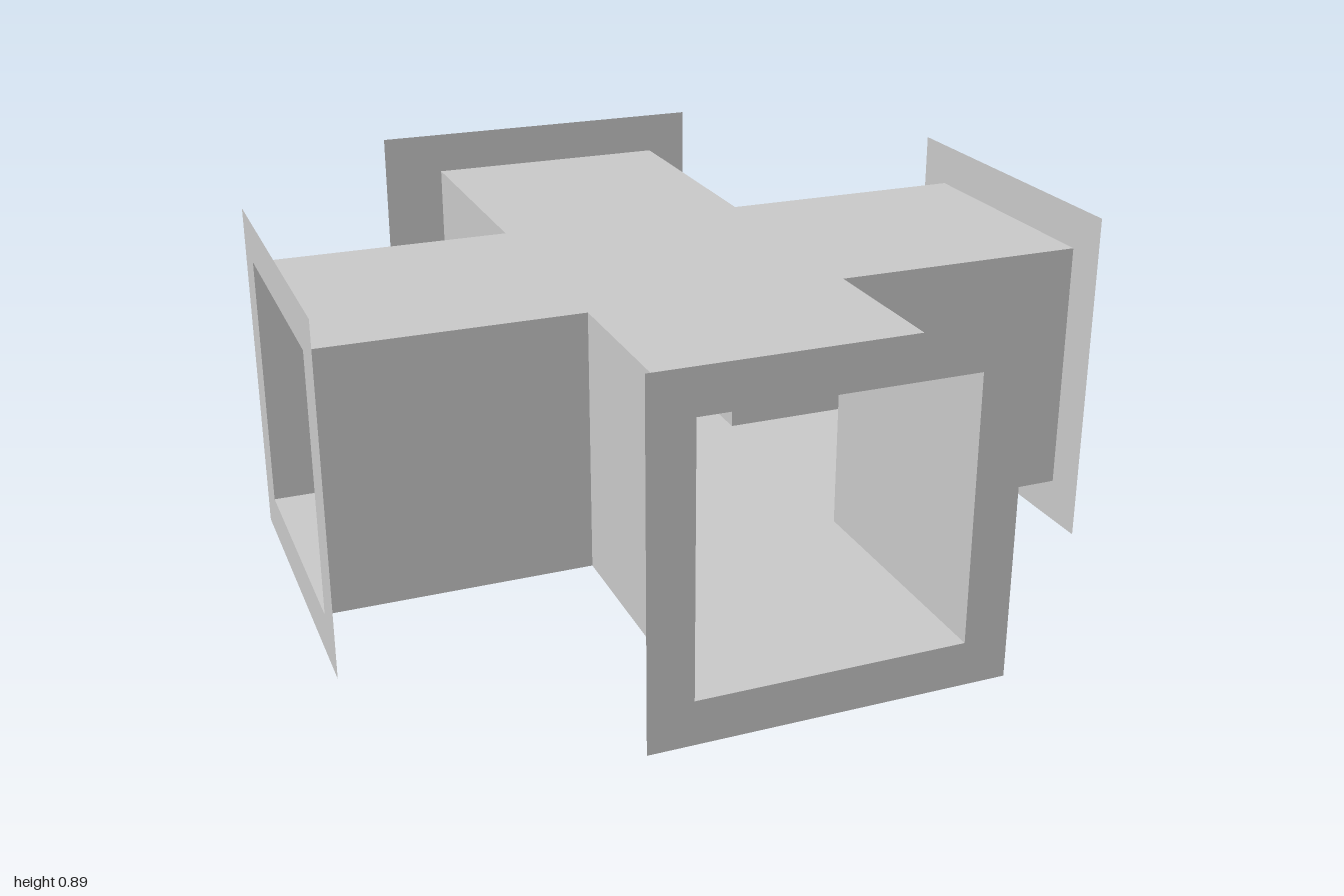
import * as THREE from 'three';

const HALF = 1 / 3;      // half width of the duct
const RIM = 4 / 9;       // half width of the end flanges
const MID = 4 / 9;       // height of the duct axis
const END = 1;           // distance from centre to each open end

export function createModel() {
  const model = new THREE.Group();
  model.name = 'crossDuct';
  const material = new THREE.MeshStandardMaterial({
    color: 0xcccccc, flatShading: true, side: THREE.DoubleSide,
  });

  const add = (parent, name, geometry) => {
    const mesh = new THREE.Mesh(geometry, material);
    mesh.name = name;
    parent.add(mesh);
    return mesh;
  };

  const rectangle = (x0, y0, x1, y1) => [
    new THREE.Vector2(x0, y0), new THREE.Vector2(x1, y0),
    new THREE.Vector2(x1, y1), new THREE.Vector2(x0, y1),
  ];

  // Plus-shaped floor and ceiling sheets
  const cross = [];
  for (let i = 0; i < 4; i++) {
    for (const [x, y] of [[HALF, -HALF], [END, -HALF], [END, HALF]]) {
      cross.push(new THREE.Vector2(x, y).rotateAround(new THREE.Vector2(), i * Math.PI / 2));
    }
  }
  const sheet = new THREE.ShapeGeometry(new THREE.Shape(cross)).rotateX(-Math.PI / 2);
  add(model, 'ceiling', sheet).position.y = MID + HALF;
  add(model, 'floor', sheet.clone().rotateX(Math.PI)).position.y = MID - HALF;

  // Four arms: two side walls and a thin flange round each open end
  const wall = new THREE.PlaneGeometry(END - HALF, 2 * HALF);
  ['front', 'left', 'back', 'right'].forEach((side, i) => {
    const arm = new THREE.Group();
    arm.name = side + 'Arm';
    arm.position.y = MID;
    arm.rotation.y = i * Math.PI / 2;
    model.add(arm);

    for (const s of [-1, 1]) {
      const mesh = add(arm, side + 'ArmWall', wall);
      mesh.rotation.y = s * Math.PI / 2;
      mesh.position.set(s * HALF, 0, (HALF + END) / 2);
    }

    // The back flange reaches a little further on one side
    const reach = side === 'back' ? 0.5 : RIM;
    const frame = new THREE.Shape(rectangle(-RIM, -RIM, reach, RIM));
    frame.holes.push(new THREE.Path(rectangle(-HALF, -HALF, HALF, HALF).reverse()));
    add(arm, side + 'Flange', new THREE.ShapeGeometry(frame)).position.z = END;
  });

  return model;
}
